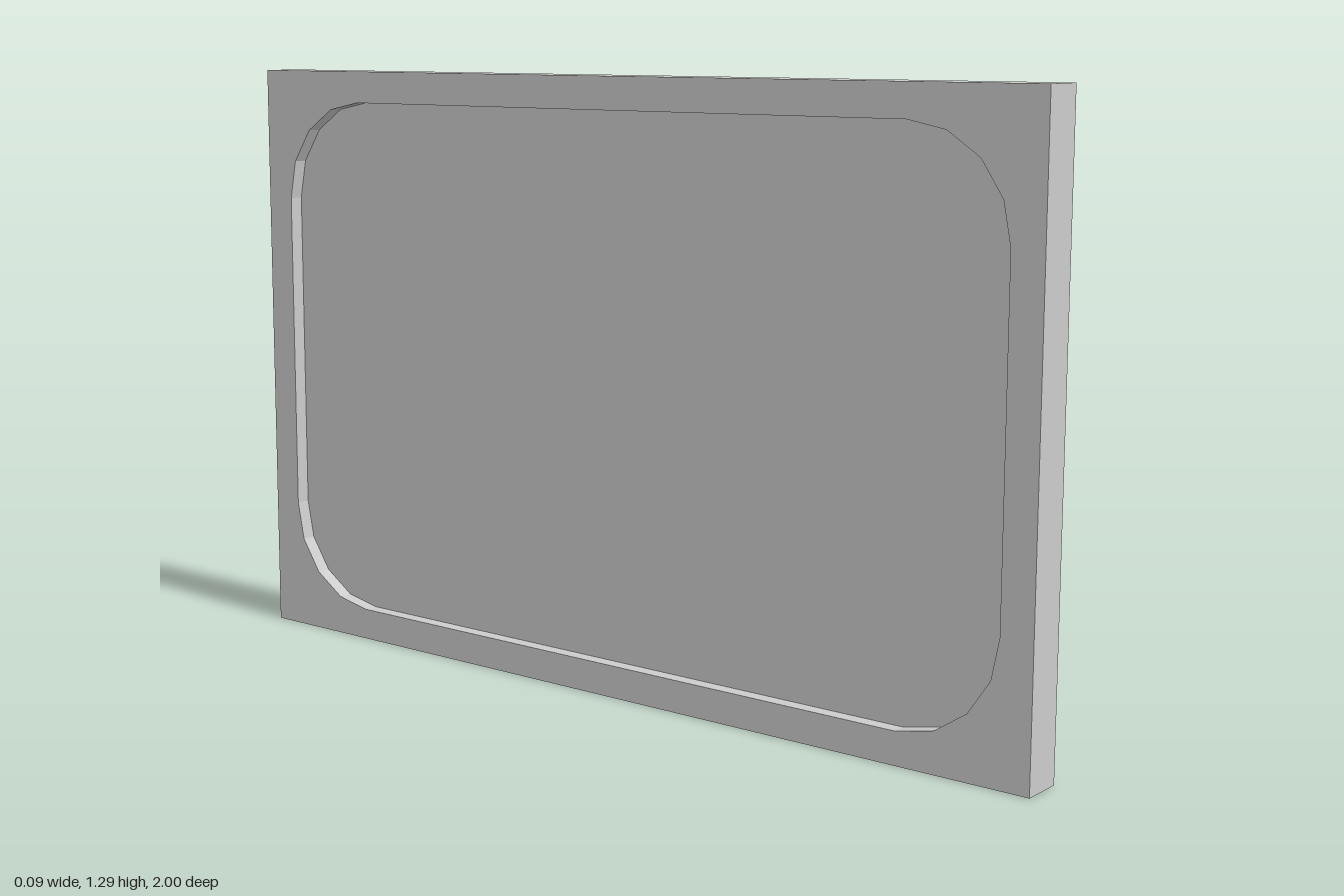
import * as THREE from 'three';

const LENGTH = 2, HEIGHT = 1.287, THICKNESS = 0.092;
const RECESS_LENGTH = 1.86, RECESS_HEIGHT = 1.15, RADIUS = 0.22, DEPTH = 0.031;

// Rounded rectangle centred on the origin
function roundedOutline(path, w, h, r) {
  const x = w / 2 - r, y = h / 2 - r, q = Math.PI / 2;
  [[x, y], [-x, y], [-x, -y], [x, -y]].forEach(([cx, cy], i) =>
    path.absarc(cx, cy, r, i * q, (i + 1) * q, false));
  path.closePath();
  return path;
}

// Slab of the given thickness, centred on x = 0 and standing upright
function slab(name, shape, thickness, material) {
  // arcs take twice curveSegments, giving four facets per corner
  const geometry = new THREE.ExtrudeGeometry(shape, { depth: thickness, bevelEnabled: false, curveSegments: 2 });
  geometry.translate(0, 0, -thickness / 2).rotateY(Math.PI / 2);
  const mesh = new THREE.Mesh(geometry, material);
  mesh.name = name;
  mesh.position.y = HEIGHT / 2;
  return mesh;
}

export function createModel() {
  const group = new THREE.Group();
  group.name = 'recessedPanel';
  const material = new THREE.MeshStandardMaterial({ color: 0xcccccc, flatShading: true });

  // Rectangular frame with a rounded opening
  const a = LENGTH / 2, b = HEIGHT / 2;
  const frame = new THREE.Shape([[-a, -b], [a, -b], [a, b], [-a, b]].map(p => new THREE.Vector2(...p)));
  frame.holes.push(roundedOutline(new THREE.Path(), RECESS_LENGTH, RECESS_HEIGHT, RADIUS));
  group.add(slab('frame', frame, THICKNESS, material));

  // Thin centre panel, set back equally on both faces
  const panel = roundedOutline(new THREE.Shape(), RECESS_LENGTH, RECESS_HEIGHT, RADIUS);
  group.add(slab('centrePanel', panel, THICKNESS - 2 * DEPTH, material));

  return group;
}
